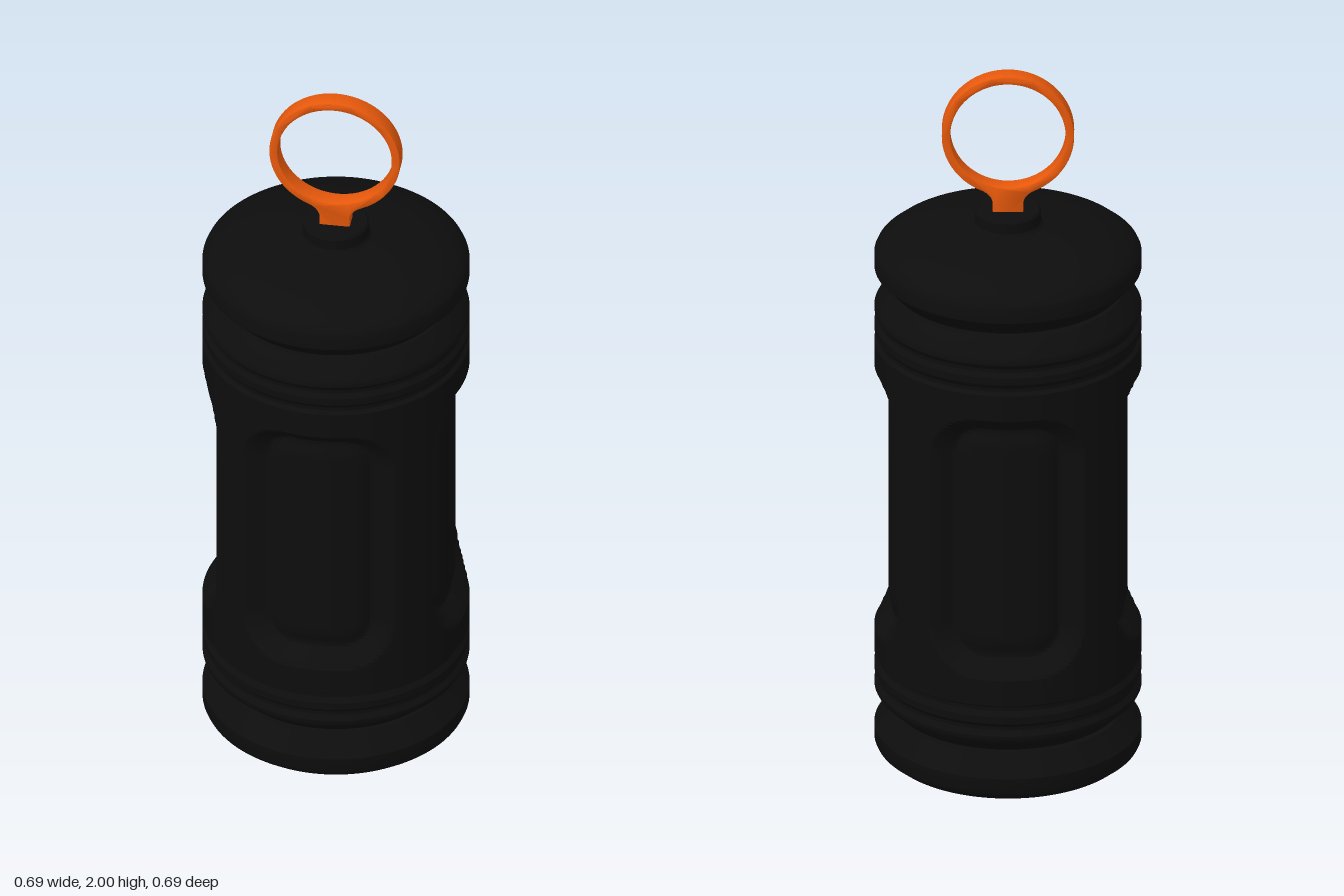
import * as THREE from 'three';
import { toCreasedNormals } from 'three/addons/utils/BufferGeometryUtils.js';

const MID = 0.785; // height of the body's mirror plane
const black = new THREE.MeshStandardMaterial({ color: 0x0d0d0d });
const orange = new THREE.MeshStandardMaterial({ color: 0xe8590c });

// Lower half of the body profile [radius, y]; the upper half mirrors it
const HALF = [
  [0, 0], [0.09, 0.003], [0.17, 0.011], [0.23, 0.022], [0.28, 0.037], [0.32, 0.056], [0.342, 0.074], [0.347, 0.085],
  [0.347, 0.125], [0.3, 0.176], [0.265, 0.176], [0.265, 0.188], [0.3, 0.188], // end cap and deep groove
  [0.342, 0.228], [0.347, 0.238], [0.347, 0.248], [0.337, 0.262], [0.337, 0.272], // rib
  [0.347, 0.284], [0.347, 0.304], [0.337, 0.318], [0.337, 0.328], // rib
  [0.347, 0.336], [0.347, 0.4],
];

// Depth of the four recessed grips at an angle and height
function recess(angle, y) {
  const quarter = Math.PI / 2;
  const a = angle - Math.round(angle / quarter) * quarter;
  const halfW = 0.212, halfH = 0.373, corner = 0.13;
  const qx = Math.abs(a * 0.347) - halfW + corner;
  const qy = Math.abs(y - MID) - halfH + corner;
  const inside = corner - Math.hypot(Math.max(qx, 0), Math.max(qy, 0)) - Math.min(Math.max(qx, qy), 0);
  if (inside <= 0) return 0;
  // sloped wall, then a slight swell to the panel face
  if (inside < 0.045) return inside * 1.07;
  return 0.048 - 0.011 * THREE.MathUtils.smoothstep(inside, 0.045, 0.095);
}

function bodyGeometry() {
  const points = HALF.map(([r, y]) => new THREE.Vector2(r, y));
  const rows = 84;
  for (let i = 1; i < rows; i++) points.push(new THREE.Vector2(0.347, 0.4 + (0.77 * i) / rows));
  [...HALF].reverse().forEach(([r, y]) => points.push(new THREE.Vector2(r, 2 * MID - y)));
  const geometry = new THREE.LatheGeometry(points, 192);
  const p = geometry.attributes.position;
  for (let i = 0; i < p.count; i++) {
    const x = p.getX(i), y = p.getY(i), z = p.getZ(i);
    if (y < 0.405 || y > 1.165) continue;
    const k = 1 - recess(Math.atan2(x, z), y) / Math.hypot(x, z);
    p.setXYZ(i, x * k, y, z * k);
  }
  return toCreasedNormals(geometry, 0.5);
}

// Ring with a flared stem, cut as one plate
function pullRingGeometry() {
  const cy = 1.828, outer = 0.169, inner = 0.153;
  const start = -Math.PI / 2 + 0.42;
  const ex = Math.cos(start) * outer, ey = cy + Math.sin(start) * outer;
  const shape = new THREE.Shape();
  shape.moveTo(-0.037, 1.56);
  shape.lineTo(0.037, 1.56);
  shape.lineTo(0.037, 1.635);
  shape.quadraticCurveTo(0.04, 1.66, ex, ey);
  shape.absarc(0, cy, outer, start, Math.PI - start, false);
  shape.quadraticCurveTo(-0.04, 1.66, -0.037, 1.635);
  shape.closePath();
  shape.holes.push(new THREE.Path().absarc(0, cy, inner, 0, Math.PI * 2, true));
  const geometry = new THREE.ExtrudeGeometry(shape, {
    depth: 0.042, bevelThickness: 0.004, bevelSize: 0.003, bevelSegments: 2, curveSegments: 64,
  });
  geometry.translate(0, 0, -0.021);
  return toCreasedNormals(geometry, 0.6);
}

export function createModel() {
  const group = new THREE.Group();
  const add = (name, geometry, material) => {
    const mesh = new THREE.Mesh(geometry, material);
    mesh.name = name;
    group.add(mesh);
  };

  add('body', bodyGeometry(), black);

  // Collar on the lid, with a small fillet at its foot
  const collar = [[0.105, 1.56], [0.092, 1.567], [0.086, 1.575], [0.086, 1.604], [0.081, 1.61], [0, 1.61]];
  const collarGeometry = new THREE.LatheGeometry(collar.map(([r, y]) => new THREE.Vector2(r, y)), 64);
  add('collar', toCreasedNormals(collarGeometry, 0.5), black);

  add('pullRing', pullRingGeometry(), orange);
  return group;
}
